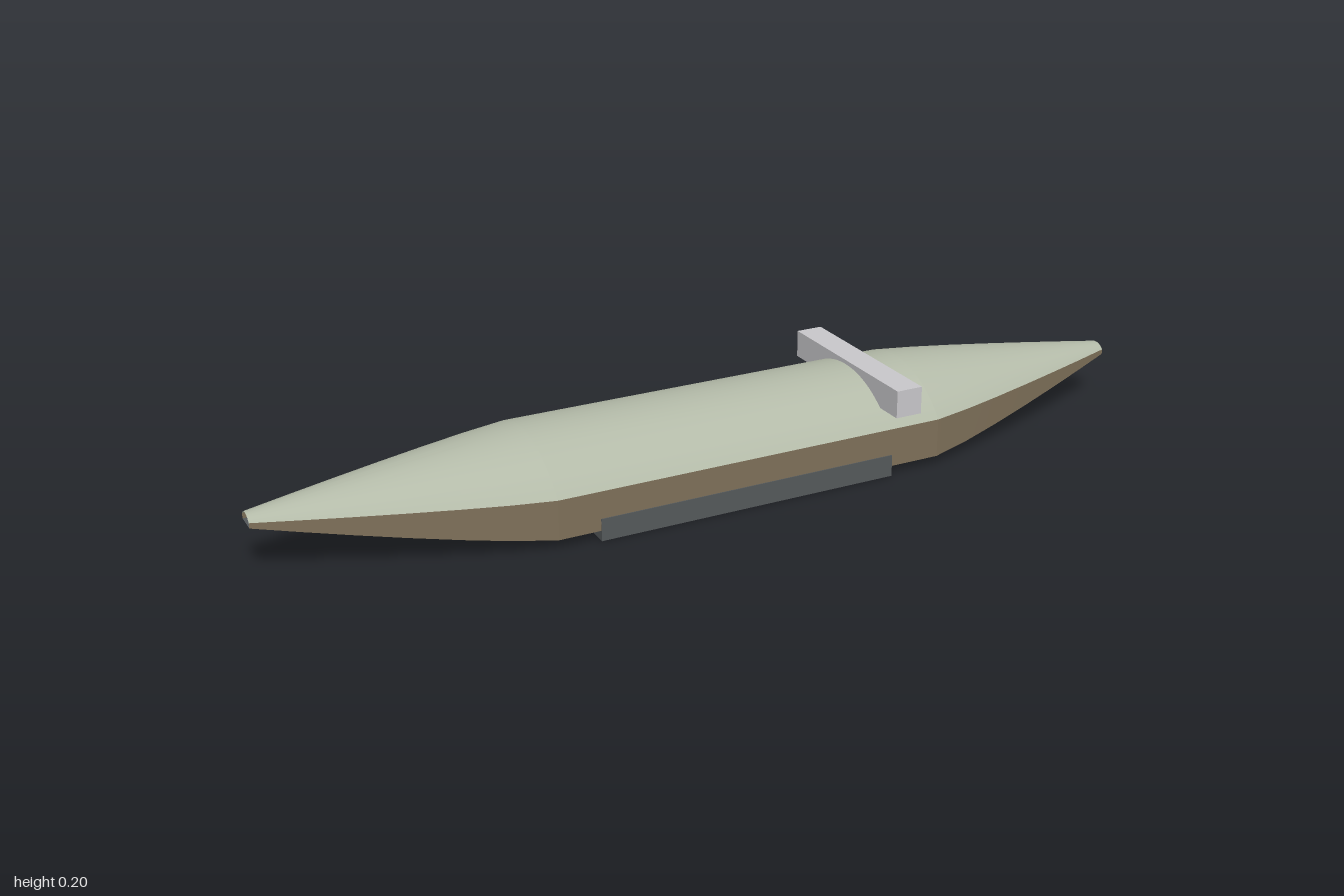
import * as THREE from 'three';
import { toCreasedNormals } from 'three/addons/utils/BufferGeometryUtils.js';

const mat = (name, color, side = THREE.FrontSide) => {
  const m = new THREE.MeshStandardMaterial({ color, side });
  m.name = name;
  return m;
};

// Fullness of the vessel: 1 amidships, 0 at either tip
const MID = 0.44;
const fullness = (x) => 1 - Math.pow(Math.max(0, (Math.abs(x) - MID) / (1 - MID)), 1.15);
const mix = (tip, mid, x) => tip + (mid - tip) * fullness(x);
const halfWidth = (x) => mix(0.025, 0.18, x);
const rimY = (x) => mix(0.118, 0.107, x);
const keelY = (x) => mix(0.107, 0.022, x);
const crownY = (x) => mix(0.13, 0.195, x);

const taper = [0.44, 0.53, 0.62, 0.72, 0.82, 0.91, 1];
const stations = [...taper.map((x) => -x).reverse(), ...taper];

// Skin a surface through the stations; section(x, u) gives [y, z] for u in 0..1
function loft(section, segments) {
  const pos = [], idx = [], row = segments + 1;
  stations.forEach((x, i) => {
    for (let j = 0; j <= segments; j++) {
      pos.push(x, ...section(x, j / segments));
      if (i && j) {
        const d = i * row + j, c = d - 1, b = d - row, a = b - 1;
        idx.push(a, c, d, a, d, b);
      }
    }
  });
  const g = new THREE.BufferGeometry();
  g.setAttribute('position', new THREE.Float32BufferAttribute(pos, 3));
  g.setIndex(idx);
  g.computeVertexNormals();
  return toCreasedNormals(g, 0.1);
}

export function createModel() {
  const group = new THREE.Group();
  const canopyMat = mat('sage green', 0xb3baa8, THREE.DoubleSide);
  const hullMat = mat('tan', 0x7e7059, THREE.DoubleSide);
  const darkMat = mat('dark grey', 0x55595b, THREE.DoubleSide);
  const barMat = mat('light grey', 0xc8c7ca);

  const add = (name, geometry, material, x = 0, y = 0, z = 0) => {
    const m = new THREE.Mesh(geometry, material);
    m.name = name;
    m.position.set(x, y, z);
    group.add(m);
  };

  // Arched canopy: a circular arc from rim to rim
  add('canopy', loft((x, u) => {
    const w = halfWidth(x), h = crownY(x) - rimY(x);
    const r = (w * w + h * h) / (2 * h);
    const a = (1 - 2 * u) * Math.asin(w / r);
    return [crownY(x) - r + r * Math.cos(a), r * Math.sin(a)];
  }, 32), canopyMat);

  // Upright hull sides and flat-bottomed keel plate
  for (const s of [1, -1]) {
    add(s > 0 ? 'frontHullSide' : 'backHullSide', loft((x, u) => {
      const v = s > 0 ? u : 1 - u;
      return [keelY(x) + v * (rimY(x) - keelY(x)), s * halfWidth(x)];
    }, 1), hullMat);
  }
  add('hullBottom', loft((x, u) => [keelY(x), (2 * u - 1) * halfWidth(x)], 1), darkMat);

  // Skids along both lower edges
  for (const s of [1, -1]) {
    add(s > 0 ? 'frontSkid' : 'backSkid',
      new THREE.BoxGeometry(0.675, 0.048, 0.075), darkMat, -0.0125, 0.024, s * 0.1445);
  }

  // Crossbar over the canopy
  add('crossbar', new THREE.BoxGeometry(0.06, 0.06, 0.416), barMat, 0.345, 0.174, 0);

  return group;
}
